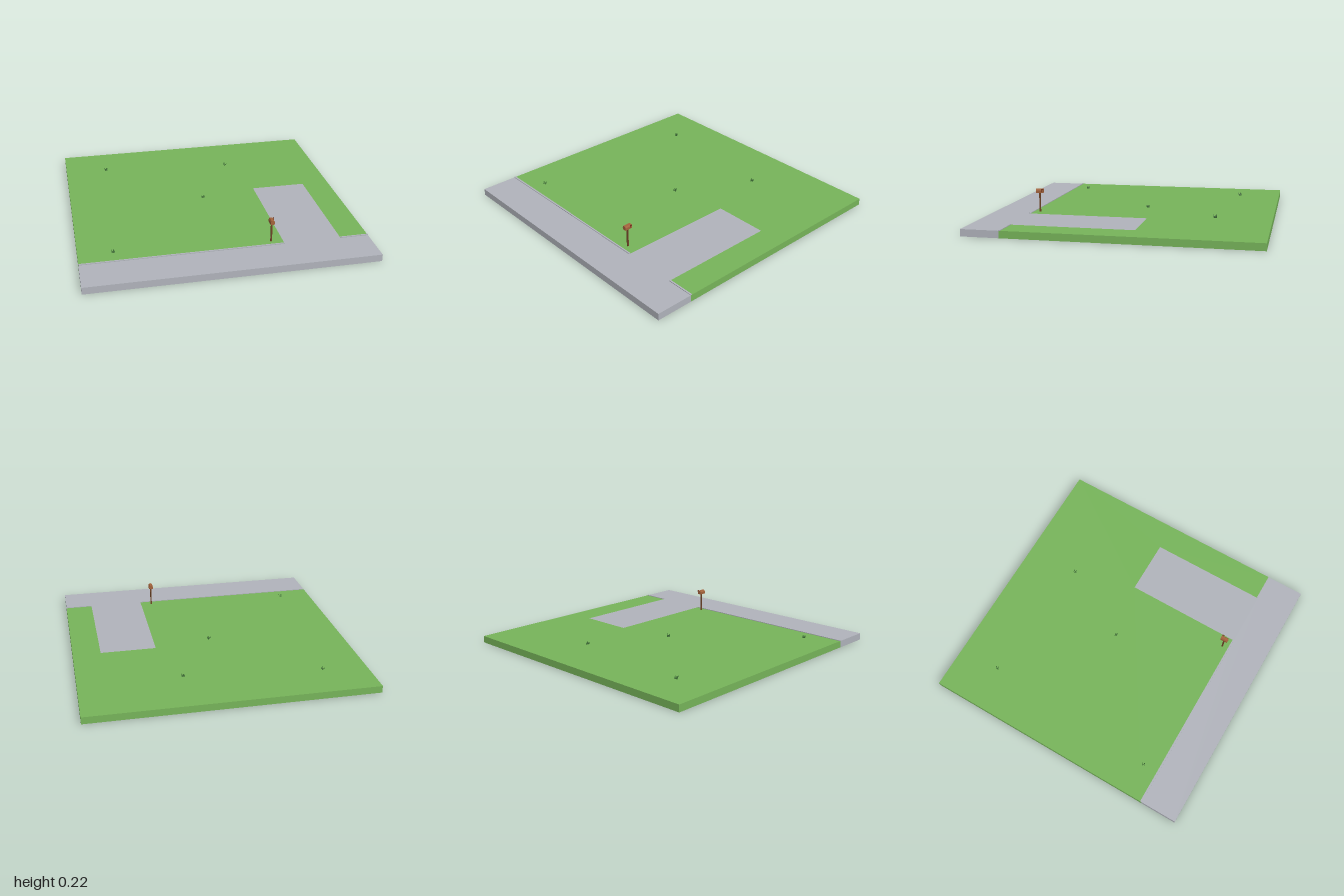
import * as THREE from 'three';

const mat = (name, color, side = THREE.FrontSide) => {
  const m = new THREE.MeshStandardMaterial({ color, side });
  m.name = name;
  return m;
};

const TOP = 0.05;      // ground level
const EDGE = 0.73;     // where lawn meets pavement

export function createModel() {
  const model = new THREE.Group();
  model.name = 'yardTile';
  const grass = mat('lawn green', 0x77b55a);
  const concrete = mat('concrete grey', 0xb1b4bc);
  const blade = mat('dark grass green', 0x3f7038, THREE.DoubleSide);
  const wood = mat('post brown', 0x6f4426);
  const boxBrown = mat('mailbox brown', 0xa5643c);
  const flagBrown = mat('flag brown', 0x7d3a20);

  const add = (parent, name, geometry, material, x = 0, y = 0, z = 0) => {
    const mesh = new THREE.Mesh(geometry, material);
    mesh.name = name;
    mesh.position.set(x, y, z);
    parent.add(mesh);
    return mesh;
  };

  // Flat slab from an outline given as [x, z] corners
  const slab = (name, outline, material) => {
    const shape = new THREE.Shape(outline.map(([x, z]) => new THREE.Vector2(x, -z)));
    const g = new THREE.ExtrudeGeometry(shape, { depth: TOP, bevelEnabled: false });
    add(model, name, g.rotateX(-Math.PI / 2), material);
  };

  // Lawn with a notch that the driveway fills
  slab('lawn', [[-1, -1], [1, -1], [1, EDGE], [0.8, EDGE], [0.8, -0.135],
    [0.4, -0.135], [0.4, EDGE], [-1, EDGE]], grass);
  slab('pavementAndDriveway', [[-1, EDGE], [0.4, EDGE], [0.4, -0.135], [0.8, -0.135],
    [0.8, EDGE], [1, EDGE], [1, 1], [-1, 1]], concrete);

  // Low kerbs either side of the driveway
  for (const [x0, x1] of [[-1, 0.4], [0.8, 1]]) {
    add(model, 'kerb', new THREE.BoxGeometry(x1 - x0, 0.006, 0.012), concrete,
      (x0 + x1) / 2, TOP + 0.002, EDGE - 0.004);
  }

  // Mailbox: post, rounded-top body and side flag
  const mailbox = new THREE.Group();
  mailbox.name = 'mailbox';
  mailbox.position.set(0.318, TOP, 0.675);
  model.add(mailbox);
  add(mailbox, 'post', new THREE.BoxGeometry(0.01, 0.145, 0.01), wood, 0, 0.0725, 0);
  const profile = new THREE.Shape();
  profile.moveTo(-0.015, 0);
  profile.lineTo(0.015, 0);
  profile.lineTo(0.015, 0.018);
  profile.lineTo(0.009, 0.029);
  profile.lineTo(-0.009, 0.029);
  profile.lineTo(-0.015, 0.018);
  const body = new THREE.ExtrudeGeometry(profile, { depth: 0.054, bevelEnabled: false });
  add(mailbox, 'body', body, boxBrown, 0, 0.141, -0.027);
  add(mailbox, 'flagArm', new THREE.BoxGeometry(0.004, 0.02, 0.005), flagBrown, 0.017, 0.16, -0.016);
  add(mailbox, 'flag', new THREE.BoxGeometry(0.004, 0.009, 0.013), flagBrown, 0.017, 0.166, -0.02);

  // Grass tufts: small crossed blades
  const bladeGeo = new THREE.ConeGeometry(0.004, 0.024, 4).translate(0, 0.012, 0);
  for (const [x, z] of [[-0.685, -0.69], [0.28, -0.6], [-0.01, -0.06], [-0.76, 0.61]]) {
    const tuft = new THREE.Group();
    tuft.name = 'grassTuft';
    tuft.position.set(x, TOP, z);
    tuft.rotation.y = 0.4;
    model.add(tuft);
    add(tuft, 'blade', bladeGeo, blade);
    for (let i = 0; i < 4; i++) {
      const a = Math.PI / 4 + i * Math.PI / 2;
      const b = add(tuft, 'blade', bladeGeo, blade, Math.cos(a) * 0.008, 0, Math.sin(a) * 0.008);
      b.rotation.set(Math.sin(a) * 0.25, 0, -Math.cos(a) * 0.25);
    }
  }
  return model;
}
